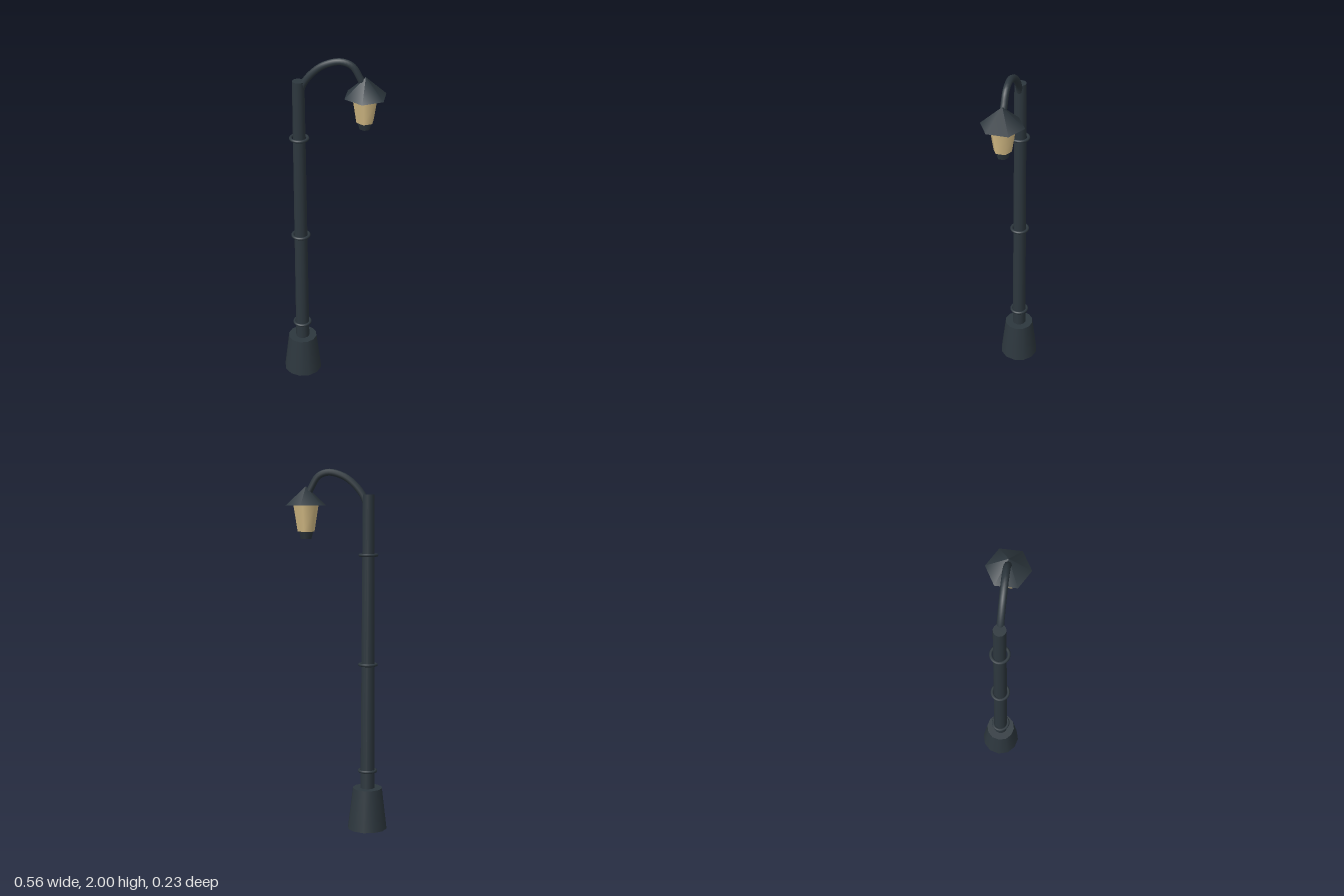
import * as THREE from 'three';

export function createModel() {
  const group = new THREE.Group();
  const iron = new THREE.MeshStandardMaterial({ color: 0x2d373e });
  iron.name = 'dark iron';
  const glass = new THREE.MeshStandardMaterial({ color: 0xd8bf88 });
  glass.name = 'warm glass';

  const POST_X = -0.17;
  const LAMP_X = 0.18;

  function add(name, geometry, material, x = 0, y = 0) {
    const mesh = new THREE.Mesh(geometry, material);
    mesh.name = name;
    mesh.position.set(x, y, 0);
    group.add(mesh);
    return mesh;
  }

  // Tapered cylinder standing between two heights
  function taper(name, material, x, y0, y1, r0, r1, sides) {
    const geometry = new THREE.CylinderGeometry(r1, r0, y1 - y0, sides);
    return add(name, geometry, material, x, (y0 + y1) / 2);
  }

  // Pedestal and post
  taper('base', iron, POST_X, 0, 0.232, 0.111, 0.083, 12);
  taper('post', iron, POST_X, 0.232, 1.86, 0.04, 0.033, 12);

  // Decorative rings around the post
  for (const y of [0.33, 0.932, 1.535]) {
    const ring = add('postRing', new THREE.TorusGeometry(0.046, 0.0085, 8, 24), iron, POST_X, y);
    ring.rotation.x = Math.PI / 2;
  }

  // Curved arm from the post top to the lantern
  const path = new THREE.CatmullRomCurve3([
    [-0.16, 1.8], [-0.142, 1.85], [-0.095, 1.911], [-0.035, 1.957],
    [0.05, 1.981], [0.11, 1.961], [0.15, 1.9], [0.172, 1.855],
  ].map(([x, y]) => new THREE.Vector3(x, y, 0)));
  add('arm', new THREE.TubeGeometry(path, 28, 0.0185, 8), iron);

  // Six-sided lantern
  taper('lanternFinial', iron, LAMP_X, 1.62, 1.66, 0.03, 0.041, 6);
  taper('lanternGlass', glass, LAMP_X, 1.66, 1.802, 0.048, 0.071, 6);
  add('lanternRoof', new THREE.ConeGeometry(0.116, 0.105, 6), iron, LAMP_X, 1.8545);

  return group;
}
